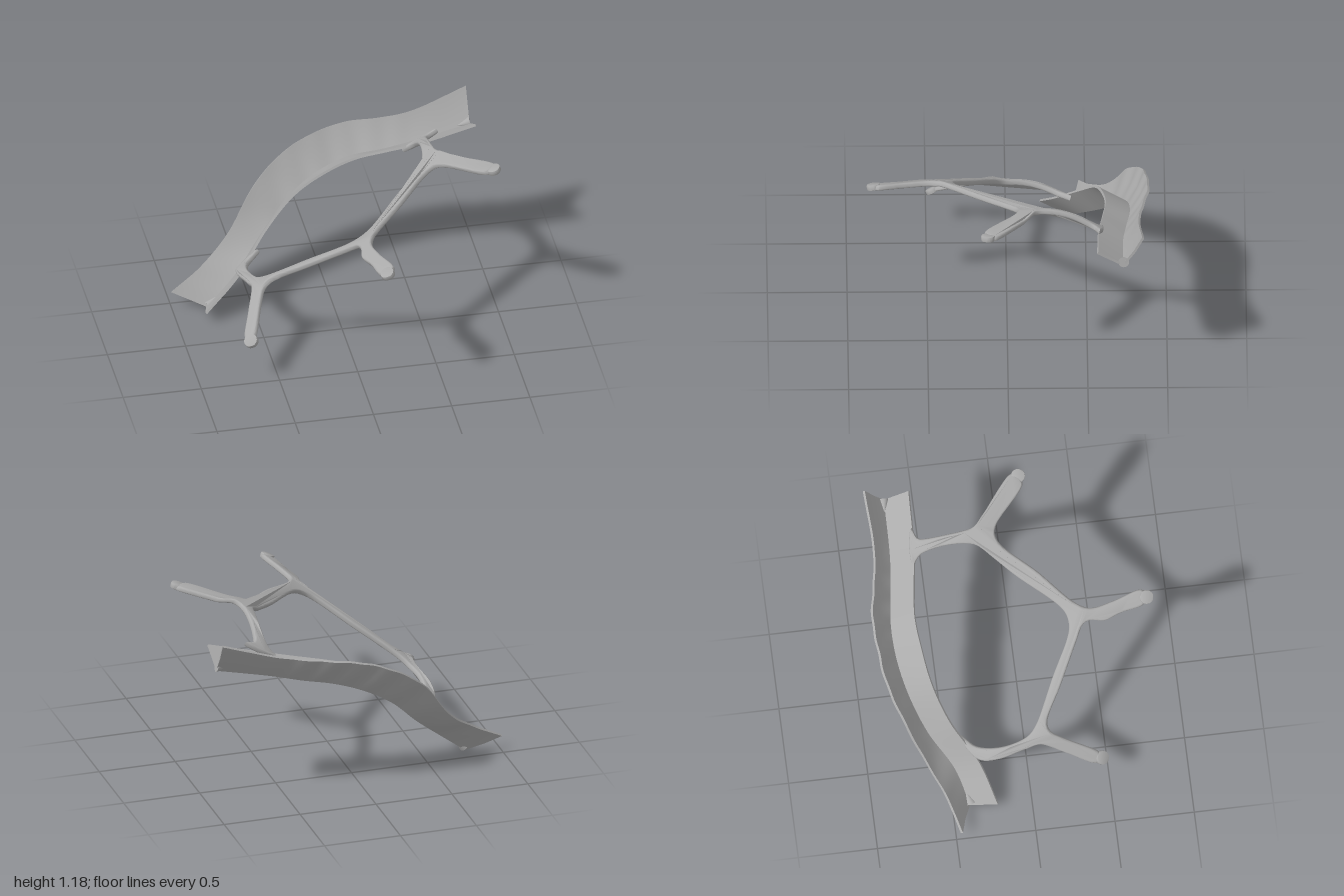
import * as THREE from 'three';
import { toCreasedNormals } from 'three/addons/utils/BufferGeometryUtils.js';

const V = (p) => new THREE.Vector3(...p);
const curve = (pts) => new THREE.CatmullRomCurve3(pts.map(V));

// Guide lines of the V-shaped rail, sharing the same stations
const FRONT = [[-.83, .09, -.22], [-.61, .28, -.31], [-.4, .5, -.47], [-.2, .68, -.56], [0, .79, -.6],
  [.2, .86, -.62], [.4, .905, -.6], [.6, .95, -.575], [.965, 1.05, -.565]];
const CREASE = [[-.79, .02, -.39], [-.6, .18, -.46], [-.4, .37, -.61], [-.2, .57, -.71], [0, .7, -.76],
  [.2, .78, -.77], [.4, .82, -.745], [.6, .87, -.725], [.96, .955, -.72]];
const BACK = [[-1, .11, -.46], [-.8, .23, -.53], [-.6, .39, -.64], [-.4, .66, -.76], [-.2, .82, -.84],
  [0, .915, -.87], [.2, .965, -.88], [.4, .99, -.845], [.6, 1.03, -.82], [.96, 1.16, -.84]];

// Top outline (x, z) of the bent web, open where it meets the rail
const WEB = [[-.61, -.3], [-.63, -.18], [-.6, -.01], [-.59, .08], [-.645, .25], [-.7, .42], [-.68, .45], [-.65, .45],
  [-.635, .43], [-.56, .22], [-.525, .15], [-.48, .135], [-.29, .245], [-.08, .365], [.01, .42], [.03, .47],
  [.02, .56], [.055, .67], [.085, .81], [.11, .83], [.15, .83], [.17, .81], [.12, .62], [.095, .48], [.125, .4],
  [.35, .17], [.54, -.04], [.6, -.065], [.66, -.045], [.885, .145], [.92, .14], [.96, .1], [.96, .075],
  [.725, -.125], [.655, -.185], [.635, -.265], [.64, -.48], [.66, -.545], [.725, -.575], [.63, -.6], [.5, -.588],
  [.54, -.57], [.57, -.53], [.565, -.24], [.545, -.175], [.35, .04], [.11, .31], [.04, .335], [-.025, .325],
  [-.24, .2], [-.48, .065], [-.53, .01], [-.565, -.105], [-.565, -.21], [-.53, -.32], [-.45, -.41], [-.52, -.385]];
const WEB_NORMAL = V([-.49, .84, -.23]);

// Legs drop below the main plane of the web: hub, foot, drop
const LEGS = [
  [[.62, -.09], [.95, .13], -.2],
  [[.06, .42], [.125, .85], -.14],
  [[-.55, .1], [-.675, .46], -.2],
];

function webHeight(x, z) {
  let y = 1.085 + .586 * (x - .6) + .275 * (z + .1);
  for (const [h, e, drop] of LEGS) {
    const dx = e[0] - h[0], dz = e[1] - h[1], len2 = dx * dx + dz * dz;
    const t = ((x - h[0]) * dx + (z - h[1]) * dz) / len2;
    const side = Math.abs((x - h[0]) * dz - (z - h[1]) * dx) / Math.sqrt(len2);
    if (side < .12) y += drop * THREE.MathUtils.clamp(t, 0, 1.1);
  }
  // Struts arch upward on their way to the rail
  const right = x > .3, start = right ? -.1 : 0, end = right ? -.57 : -.33;
  const s = THREE.MathUtils.clamp((z - start) / (end - start), 0, 1);
  return y + (right ? .06 : .025) * Math.sin(Math.PI * s);
}

function railGeometry() {
  const N = 90, T = .015;
  const lines = [FRONT, CREASE, BACK].map(curve);
  const pos = [], idx = [], M = 5;
  for (let i = 0; i <= N; i++) {
    const u = i / N;
    const [f, c, b] = lines.map((l) => l.getPoint(u));
    const along = lines[1].getTangent(u);
    const n1 = along.clone().cross(c.clone().sub(f)).normalize();
    const n2 = along.clone().cross(b.clone().sub(c)).normalize();
    const ripple = .006 * Math.sin(u * 62) * Math.sin(Math.PI * u);
    const top = [f, f.clone().lerp(c, .5), c,
      c.clone().lerp(b, .5).addScaledVector(n2, ripple - .008), b.clone().addScaledVector(n2, ripple * .5)];
    const normals = [n1, n1, n1.clone().add(n2).normalize().multiplyScalar(1.3), n2, n2];
    const under = top.map((p, j) => p.clone().addScaledVector(normals[j], -T)).reverse();
    for (const p of [...top, ...under]) pos.push(p.x, p.y, p.z);
  }
  const R = 2 * M;
  for (let i = 0; i < N; i++) for (let j = 0; j < R; j++) {
    const a = i * R + j, b = i * R + (j + 1) % R, c = b + R, d = a + R;
    idx.push(a, d, c, a, c, b);
  }
  const e = N * R;
  for (let j = 0; j < M - 1; j++) {
    const k = R - 1 - j;
    idx.push(j, j + 1, k - 1, j, k - 1, k);
    idx.push(e + j, e + k - 1, e + j + 1, e + j, e + k, e + k - 1);
  }
  const g = new THREE.BufferGeometry();
  g.setAttribute('position', new THREE.Float32BufferAttribute(pos, 3));
  g.setIndex(idx);
  return toCreasedNormals(g, .6);
}

function webGeometry() {
  const loop = new THREE.CatmullRomCurve3(WEB.map(([x, z]) => new THREE.Vector3(x, -z, 0)), true, 'centripetal');
  const pts = loop.getSpacedPoints(320).slice(0, -1).map((p) => new THREE.Vector2(p.x, p.y));
  const g = new THREE.ExtrudeGeometry(new THREE.Shape(pts), {
    depth: .014, bevelEnabled: true, bevelThickness: .011, bevelSize: .011, bevelOffset: -.011, bevelSegments: 3,
  });
  g.translate(0, 0, -.007).rotateX(-Math.PI / 2);
  const p = g.attributes.position;
  for (let i = 0; i < p.count; i++) {
    const x = p.getX(i), d = p.getY(i), z = p.getZ(i);
    p.setXYZ(i, x + WEB_NORMAL.x * d, webHeight(x, z) + WEB_NORMAL.y * d, z + WEB_NORMAL.z * d);
  }
  return toCreasedNormals(g, .7);
}

// Round foot with a wedge slot opening along +x, facing +y
function padGeometry() {
  const s = new THREE.Shape();
  s.moveTo(-.005, 0);
  s.absarc(0, 0, .044, .35, Math.PI * 2 - .35, false);
  s.closePath();
  const g = new THREE.ExtrudeGeometry(s, {
    depth: .022, bevelEnabled: true, bevelThickness: .006, bevelSize: .005, bevelOffset: -.005, bevelSegments: 2, curveSegments: 24,
  });
  return toCreasedNormals(g.translate(0, 0, -.011).rotateX(-Math.PI / 2), .6);
}

export function createModel() {
  const model = new THREE.Group();
  model.name = 'bracket';
  const metal = new THREE.MeshStandardMaterial({ color: 0xaaaaaa });
  metal.name = 'plain grey';
  const add = (name, geometry) => {
    const m = new THREE.Mesh(geometry, metal);
    m.name = name;
    model.add(m);
    return m;
  };
  add('rail', railGeometry());
  add('web', webGeometry());

  // Slotted feet at the leg ends: position, facing direction, slot direction
  const pad = padGeometry();
  const feet = [
    ['leftFoot', [.945, 1.152, .125], [-.3, 1, 0], [.8, 0, .5]],
    ['frontFoot', [.125, .932, .835], [-.4, .9, .15], [-.2, 0, 1]],
    ['rightFoot', [-.672, .29, .458], [-.45, .75, .45], [-.3, 0, 1]],
  ];
  for (const [name, at, up, out] of feet) {
    const y = V(up).normalize();
    const z = V(out).cross(y).normalize();
    const x = y.clone().cross(z);
    const foot = add(name, pad);
    foot.quaternion.setFromRotationMatrix(new THREE.Matrix4().makeBasis(x, y, z));
    foot.position.copy(V(at));
  }

  // Small conical stops in the crease at both rail ends
  const stops = [
    ['rightStop', [-.745, .055, -.395], [.19, .16, -.07]],
    ['leftStop', [.92, .955, -.725], [-1, -.25, 0]],
  ];
  for (const [name, at, dir] of stops) {
    const stop = add(name, new THREE.ConeGeometry(.034, .085, 20));
    stop.quaternion.setFromUnitVectors(new THREE.Vector3(0, 1, 0), V(dir).normalize());
    stop.position.copy(V(at));
  }
  return model;
}
